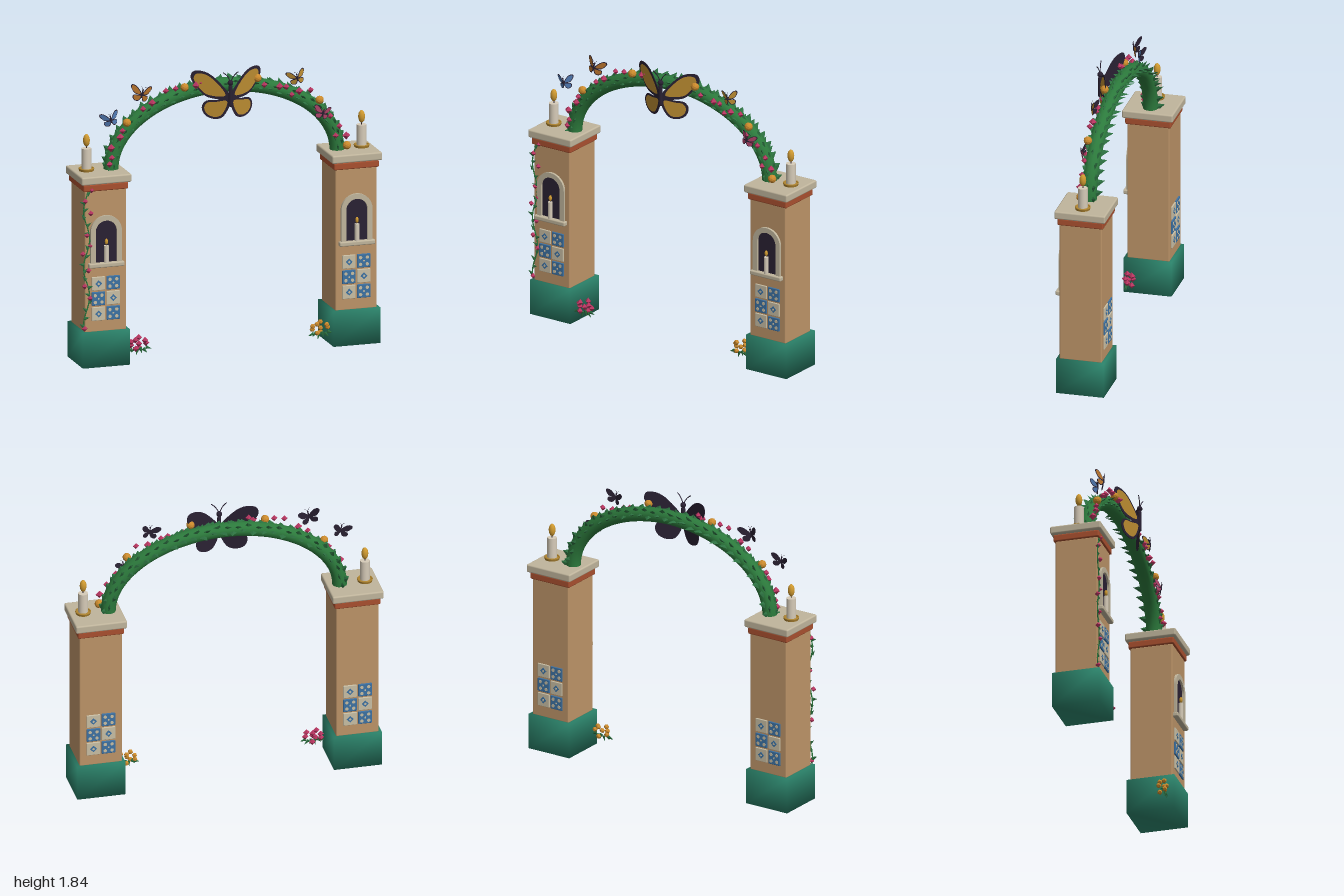
import * as THREE from 'three';
import { mergeVertices, mergeGeometries } from 'three/addons/utils/BufferGeometryUtils.js';
import { RoundedBoxGeometry } from 'three/addons/geometries/RoundedBoxGeometry.js';

const mat = (color, opts = {}) => new THREE.MeshStandardMaterial({ color, ...opts });
const flat = { flatShading: true }, thin = { side: THREE.DoubleSide };
const M = {
  plaster: mat(0xbd9468), stone: mat(0xc0b59c), brick: mat(0xa9502f), emerald: mat(0x2a8068),
  dark: mat(0x2a2133, thin), wax: mat(0xd6cbb8), brass: mat(0xb08530), flame: mat(0xd09a30),
  cream: mat(0xc9bfa5), blue: mat(0x3d72a4), tube: mat(0x2c7a3c), leaf: mat(0x2c7040, flat),
  pink: mat(0xb83560, flat), orange: mat(0xcb8a2c, flat), wingGold: mat(0xb98a30, thin),
  wingBlue: mat(0x4f78b0, thin), wingRust: mat(0xb8742c, thin), wingPink: mat(0xb04468, thin),
};

function add(parent, name, geo, material, x = 0, y = 0, z = 0) {
  const m = new THREE.Mesh(geo, material);
  m.name = name;
  m.position.set(x, y, z);
  parent.add(m);
  return m;
}
function group(parent, name, x = 0, y = 0, z = 0) {
  const g = new THREE.Group();
  g.name = name;
  g.position.set(x, y, z);
  parent.add(g);
  return g;
}
const box = (w, h, d) => new THREE.BoxGeometry(w, h, d);
const rbox = (w, h, d, r = 0.008) => new RoundedBoxGeometry(w, h, d, 2, r);
const cyl = (r0, r1, h, n = 20) => new THREE.CylinderGeometry(r0, r1, h, n);
const bloom = (r) => new THREE.OctahedronGeometry(r);

// Pointed leaf: base at the origin, tip along +y, wide in x
function leafGeo(width, length) {
  const g = new THREE.ConeGeometry(width / 2, length, 4);
  g.translate(0, length / 2, 0);
  g.scale(1, 1, 0.4);
  return g;
}

function candle(parent, name, r, h, x, y, z) {
  const g = group(parent, name, x, y, z);
  add(g, 'candleWax', cyl(r, r, h), M.wax, 0, h / 2, 0);
  add(g, 'wick', cyl(r * 0.1, r * 0.1, r * 0.6, 6), M.dark, 0, h + r * 0.3, 0);
  add(g, 'flame', new THREE.SphereGeometry(1, 14, 10), M.flame, 0, h + r * 1.65, 0)
    .scale.set(r * 0.7, r * 1.3, r * 0.7);
  return g;
}

// Round-headed arch outline standing on y = 0
function archPath(P, half, spring) {
  const p = new P();
  p.moveTo(-half, 0);
  p.lineTo(half, 0);
  p.lineTo(half, spring);
  p.absarc(0, spring, half, 0, Math.PI, false);
  p.lineTo(-half, 0);
  return p;
}

// Checker of painted tiles, two wide and three high
function tilePanel(parent, rotY) {
  const panel = group(parent, 'tilePanel');
  panel.rotation.y = rotY;
  for (let row = 0; row < 3; row++) for (let col = 0; col < 2; col++) {
    const t = group(panel, 'tile', (col - 0.5) * 0.097, 0.54 - row * 0.098, 0.139);
    const plain = (row + col) % 2 === 0;
    add(t, 'tileBody', rbox(0.088, 0.088, 0.012, 0.004), plain ? M.cream : M.blue);
    if (plain) {
      add(t, 'tileDiamond', box(0.032, 0.032, 0.004), M.blue, 0, 0, 0.006).rotation.z = Math.PI / 4;
      add(t, 'tileCentre', box(0.013, 0.013, 0.004), M.cream, 0, 0, 0.008).rotation.z = Math.PI / 4;
    } else {
      for (const sx of [-1, 1]) for (const sy of [-1, 1])
        add(t, 'tileDot', cyl(0.011, 0.011, 0.004, 12), M.cream, sx * 0.022, sy * 0.022, 0.006).rotation.x = Math.PI / 2;
      add(t, 'tileCentre', cyl(0.006, 0.006, 0.004, 10), M.cream, 0, 0, 0.006).rotation.x = Math.PI / 2;
    }
  }
}

function pillar(parent, side) {
  const p = group(parent, side > 0 ? 'leftPillar' : 'rightPillar', side * 0.826);
  // Plinth with normals shared across its corners
  const plinth = box(0.31, 0.23, 0.31);
  plinth.deleteAttribute('uv');
  plinth.deleteAttribute('normal');
  const soft = mergeVertices(plinth);
  soft.computeVertexNormals();
  add(p, 'plinth', soft, M.emerald, 0, 0.115, 0);
  add(p, 'shaft', rbox(0.274, 0.92, 0.274), M.plaster, 0, 0.685, 0);
  add(p, 'brickBand', rbox(0.296, 0.045, 0.296), M.brick, 0, 1.163, 0);
  add(p, 'capStone', rbox(0.33, 0.052, 0.33, 0.01), M.stone, 0, 1.213, 0);

  // Niche with its frame, sill and small candle
  const niche = group(p, 'niche', 0, 0.67, 0.137);
  const frame = archPath(THREE.Shape, 0.103, 0.207);
  frame.holes.push(archPath(THREE.Path, 0.07, 0.207));
  add(niche, 'nicheFrame', new THREE.ExtrudeGeometry(frame, { depth: 0.016, bevelEnabled: false, curveSegments: 20 }), M.stone);
  add(niche, 'nicheBack', new THREE.ShapeGeometry(archPath(THREE.Shape, 0.072, 0.207), 20), M.dark, 0, 0, 0.003);
  add(niche, 'nicheSill', rbox(0.235, 0.03, 0.04), M.stone, 0, -0.008, 0.012);
  candle(niche, 'nicheCandle', 0.015, 0.11, 0, 0.006, 0.016);

  tilePanel(p, 0);
  tilePanel(p, Math.PI);

  // Candle on the cap, standing in a brass dish
  const c = candle(p, 'capCandle', 0.031, 0.135, side * 0.081, 1.25, 0);
  add(c, 'candleDish', cyl(0.05, 0.046, 0.014, 24), M.brass, 0, -0.003, 0);
  const rim = add(c, 'dishRim', new THREE.TorusGeometry(0.045, 0.005, 8, 24), M.brass, 0, 0.004, 0);
  rim.rotation.x = Math.PI / 2;
}

// Half-ellipse the garland follows
class ArchCurve extends THREE.Curve {
  getPoint(t, out = new THREE.Vector3()) {
    const a = Math.PI * (1 - t);
    return out.set(0.745 * Math.cos(a), 1.235 + 0.485 * Math.sin(a), 0);
  }
}

function garland(parent) {
  const g = group(parent, 'garland');
  const curve = new ArchCurve();
  add(g, 'garlandTube', new THREE.TubeGeometry(curve, 80, 0.047, 14), M.tube);

  // Rows of leaves around the tube: angle from outward, length, offset
  const leaves = [], Z = new THREE.Vector3(0, 0, 1), n = 30;
  for (const [deg, len, shift] of [[-85, 0.055, 0.25], [-45, 0.042, 0.75], [10, 0.025, 0.5], [62, 0.03, 0], [100, 0.022, 0.5]]) {
    for (let i = 0; i < n; i++) {
      const t = (i + shift) / n, a = THREE.MathUtils.degToRad(deg + 9 * Math.sin(i * 2.3 + deg));
      const tan = curve.getTangentAt(t), pos = curve.getPointAt(t);
      const out = new THREE.Vector3(-tan.y, tan.x, 0);
      const dir = out.multiplyScalar(Math.cos(a)).addScaledVector(Z, Math.sin(a));
      pos.addScaledVector(dir, 0.04);
      const up = dir.clone().addScaledVector(tan, t < 0.5 ? 0.35 : -0.35).normalize();
      const cross = tan.clone().cross(up).normalize();
      const m = new THREE.Matrix4().makeBasis(up.clone().cross(cross), up, cross).setPosition(pos);
      leaves.push(leafGeo(0.05, len).applyMatrix4(m));
    }
  }
  add(g, 'garlandLeaves', mergeGeometries(leaves), M.leaf);

  // Blossoms along the front
  const pinks = [[-0.76, 1.385], [-0.755, 1.32], [-0.77, 1.28], [-0.7, 1.45], [-0.685, 1.49], [-0.55, 1.62], [-0.49, 1.655],
    [-0.4, 1.725], [-0.335, 1.735], [-0.2, 1.745], [-0.17, 1.76], [0.25, 1.71], [0.35, 1.69], [0.395, 1.685], [0.43, 1.63],
    [0.48, 1.65], [0.555, 1.65], [0.6, 1.52], [0.64, 1.49], [0.685, 1.47], [0.745, 1.4], [0.79, 1.335], [0.72, 1.34]];
  pinks.forEach(([x, y], i) => add(g, 'pinkBlossom', bloom(0.021 + 0.005 * (i % 3 === 0)), M.pink, x, y, 0.048));
  for (const [x, y] of [[-0.655, 1.54], [-0.275, 1.737], [0.205, 1.757], [0.615, 1.58], [0.795, 1.27]])
    add(g, 'orangeBlossom', new THREE.IcosahedronGeometry(0.027, 1), M.orange, x, y, 0.045);
}

function butterfly(parent, name, wingMat, x, y, z, size = 1, tilt = 0, fold = 0.4) {
  const b = group(parent, name, x, y, z);
  b.scale.setScalar(size);
  b.rotation.z = tilt;
  const wings = {
    upperWing: [[0, 0], [0.1, 0.13], [0.17, 0.17], [0.235, 0.168], [0.25, 0.13], [0.2, 0.05], [0.14, 0.003]],
    lowerWing: [[0, -0.008], [0.09, -0.015], [0.155, -0.022], [0.18, -0.06], [0.16, -0.112], [0.1, -0.137], [0.045, -0.12]],
  };
  for (const s of [-1, 1]) {
    const half = group(b, s > 0 ? 'leftWings' : 'rightWings');
    half.rotation.y = s * fold;
    for (const [wing, pts] of Object.entries(wings)) {
      const v = new THREE.CatmullRomCurve3(pts.map(([px, py]) => new THREE.Vector3(s * px, py, 0)), true)
        .getPoints(36).map((p) => new THREE.Vector2(p.x, p.y));
      const mid = v.reduce((a, p) => a.add(p), new THREE.Vector2()).divideScalar(v.length);
      const inner = v.map((p) => p.clone().sub(mid).multiplyScalar(0.8).add(mid));
      add(half, wing, new THREE.ExtrudeGeometry(new THREE.Shape(v), { depth: 0.004, bevelEnabled: false }), M.dark, 0, 0, -0.002);
      add(half, wing + 'Panel', new THREE.ShapeGeometry(new THREE.Shape(inner)), wingMat, 0, 0, 0.005);
    }
    const feeler = new THREE.QuadraticBezierCurve3(new THREE.Vector3(0, 0.1, 0),
      new THREE.Vector3(s * 0.015, 0.15, 0.005), new THREE.Vector3(s * 0.05, 0.17, 0.008));
    add(b, 'antenna', new THREE.TubeGeometry(feeler, 8, 0.003, 5), M.dark);
  }
  add(b, 'body', new THREE.CapsuleGeometry(0.013, 0.12, 4, 10), M.dark, 0, 0.015, 0);
  add(b, 'head', new THREE.SphereGeometry(0.018, 12, 8), M.dark, 0, 0.1, 0);
}

// Loose bunch of blossoms and leaves beside a plinth
function bunch(parent, name, material, x, makeBloom) {
  const g = group(parent, name, x, 0.11, 0.1);
  for (let i = 0; i < 9; i++) {
    const a = i * 0.7, r = i === 8 ? 0 : 1;
    add(g, 'bunchBlossom', makeBloom(), material, 0.05 * r * Math.cos(a), 0.008 + 0.032 * r * Math.sin(a), 0.022 * Math.sin(i * 2.4));
  }
  for (let i = 0; i < 6; i++) {
    const l = add(g, 'bunchLeaf', leafGeo(0.025, 0.04), M.leaf, -0.045 + i * 0.018, -0.025 + 0.008 * (i % 2), 0.01);
    l.rotation.z = 1.9 + i * 0.5;
  }
}

// Flowering creeper on the outer front edge of one pillar
function creeper(parent) {
  const g = group(parent, 'creeper');
  const stemX = (y) => -0.952 + 0.02 * Math.sin(y * 17);
  const pts = [];
  for (let y = 0.24; y < 1.17; y += 0.05) pts.push(new THREE.Vector3(stemX(y), y, 0.14));
  add(g, 'creeperStem', new THREE.TubeGeometry(new THREE.CatmullRomCurve3(pts), 60, 0.004, 6), M.tube);
  for (let i = 0; i < 18; i++) {
    const y = 0.27 + i * 0.05, s = i % 2 ? 1 : -1;
    const l = add(g, 'creeperLeaf', leafGeo(0.024, 0.036), M.leaf, stemX(y), y, 0.144);
    l.rotation.z = -s * (1 + 0.4 * Math.sin(i * 1.7));
  }
  for (const [x, y] of [[-0.92, 1.15], [-0.962, 1.08], [-0.925, 1.0], [-0.95, 0.86], [-0.925, 0.79], [-0.978, 0.74],
    [-0.94, 0.63], [-0.965, 0.53], [-0.93, 0.45], [-0.965, 0.255]])
    add(g, 'creeperBlossom', bloom(0.019), M.pink, x, y, 0.143);
}

export function createModel() {
  const model = new THREE.Group();
  model.name = 'gardenArch';
  for (const side of [-1, 1]) pillar(model, side);
  garland(model);
  creeper(model);
  bunch(model, 'pinkBunch', M.pink, -0.597, () => bloom(0.022));
  bunch(model, 'orangeBunch', M.orange, 0.6, () => new THREE.IcosahedronGeometry(0.017));
  butterfly(model, 'largeButterfly', M.wingGold, 0, 1.665, 0.128);
  butterfly(model, 'rustButterfly', M.wingRust, -0.56, 1.715, 0.06, 0.32, -0.2, 0.5);
  butterfly(model, 'blueButterfly', M.wingBlue, -0.772, 1.575, 0.085, 0.28, 0.2, 0.5);
  butterfly(model, 'goldButterfly', M.wingGold, 0.465, 1.735, 0.06, 0.28, 0.2, 0.5);
  butterfly(model, 'pinkButterfly', M.wingPink, 0.625, 1.5, 0.085, 0.26, -0.25, 0.5);
  return model;
}
